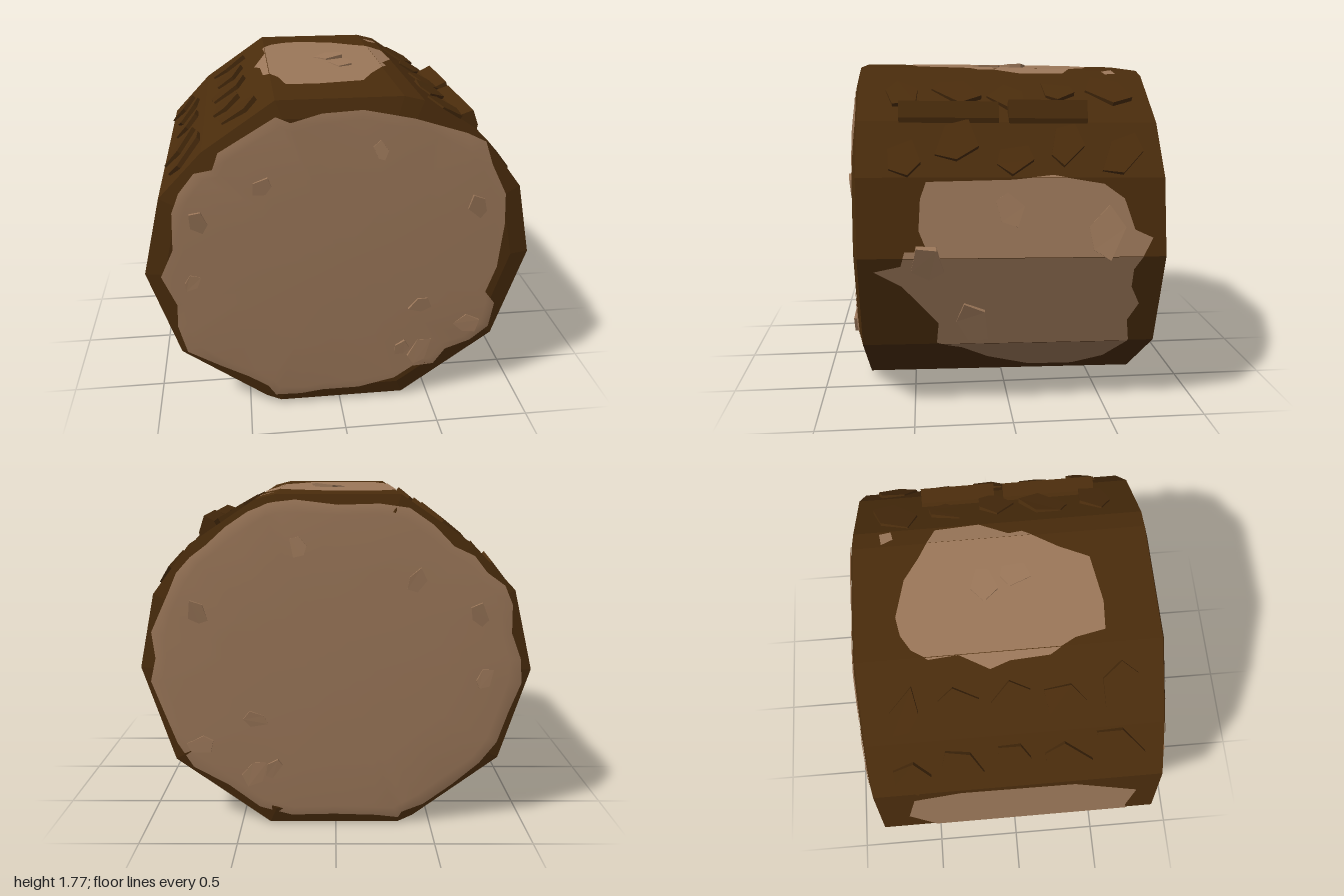
import * as THREE from 'three';

const V = (x, y, z) => new THREE.Vector3(x, y, z);
const CY = 0.88;

// Convex cross-section of the log, counter-clockwise seen from the front
const outline = [
  [1, 0.87], [0.92, 1.25], [0.73, 1.5], [0.4, 1.72], [0.3, 1.745], [-0.32, 1.745], [-0.68, 1.5],
  [-0.9, 1.27], [-1, 0.86], [-0.85, 0.38], [-0.41, 0.05], [-0.33, 0.012], [0.35, 0.012], [0.84, 0.37],
];
const edges = outline.map((a, i) => {
  const b = outline[(i + 1) % outline.length];
  const n = V(b[1] - a[1], a[0] - b[0], 0).normalize();
  return { a, b, n, d: n.x * a[0] + n.y * (a[1] - CY) };
});

// How far a point lies towards the outline: 0 at the centre, 1 on the edge
const reach = (x, y) => Math.max(...edges.map(e => (e.n.x * x + e.n.y * (y - CY)) / e.d));
// Depth of the slightly domed cut ends
const capZ = r => (r < 0.9 ? 0.793 - 0.012 * (r / 0.9) ** 2 : 0.781 - 0.25 * (r - 0.9));

let seed = 7;
const rand = () => (seed = (seed * 16807) % 2147483647) / 2147483647;

// The whole log sits a little higher at the front
function makeMesh(geo, mat, name) {
  const p = geo.attributes.position;
  for (let i = 0; i < p.count; i++) p.setY(i, p.getY(i) + 0.015 * p.getZ(i));
  geo.computeVertexNormals();
  const mesh = new THREE.Mesh(geo, mat);
  mesh.name = name;
  return mesh;
}
const fromTriangles = pts => new THREE.BufferGeometry().setFromPoints(pts);

// Bark: straight walls, bevelled rims and closed ends
function barkGeometry() {
  const levels = [[0.02, -capZ(0)], [0.9, -capZ(0.9)], [1, -capZ(1)], [1, capZ(1)], [0.9, capZ(0.9)], [0.02, capZ(0)]];
  const at = (p, [k, z]) => V(p[0] * k, CY + (p[1] - CY) * k, z);
  const tris = [];
  for (const { a, b } of edges) {
    for (let j = 0; j < levels.length - 1; j++) {
      const p = at(a, levels[j]), q = at(b, levels[j]), r = at(b, levels[j + 1]), s = at(a, levels[j + 1]);
      tris.push(p, q, r, p, r, s);
    }
  }
  return fromTriangles(tris);
}

// Bare cut wood on an end, following the dome out to a ragged edge
function cutFace(points, side) {
  const rings = [0.3, 0.6, 0.85, 1], n = points.length;
  const pos = [V(0, CY, side * (capZ(0) + 0.006))], idx = [];
  rings.forEach((k, j) => points.forEach(([x, y]) => {
    const r = reach(x, y), s = j === 2 ? Math.min(0.9 / r, 0.94) : k;
    pos.push(V(x * s, CY + (y - CY) * s, side * (capZ(r * s) + 0.006)));
  }));
  const tri = (a, b, c) => (side > 0 ? idx.push(a, b, c) : idx.push(a, c, b));
  for (let i = 0; i < n; i++) {
    const k = (i + 1) % n;
    tri(0, 1 + i, 1 + k);
    for (let j = 0; j < rings.length - 1; j++) {
      const a = 1 + j * n + i, b = 1 + j * n + k;
      tri(a, a + n, b + n);
      tri(a, b + n, b);
    }
  }
  return fromTriangles(pos).setIndex(idx);
}

// Keep the part of a polygon where sign * (p[0] - limit) >= 0
function clip(poly, limit, sign) {
  const out = [];
  poly.forEach((p, i) => {
    const q = poly[(i + 1) % poly.length];
    const dp = sign * (p[0] - limit), dq = sign * (q[0] - limit);
    if (dp >= 0) out.push(p);
    if (dp * dq < 0) {
      const t = dp / (dp - dq);
      out.push([limit, p[1] + t * (q[1] - p[1])]);
    }
  });
  return out;
}

// Peeled patch wrapped over the walls; points are [x or y, z]
function peeledPatch(points, dir) {
  const axis = dir.x ? 1 : 0, tris = [];
  for (const { a, b, n } of edges) {
    if (n.dot(dir) < 0.4) continue;
    const part = clip(clip(points, Math.min(a[axis], b[axis]), 1), Math.max(a[axis], b[axis]), -1);
    if (part.length < 3) continue;
    const contour = part.map(p => new THREE.Vector2(p[0], p[1]));
    if (THREE.ShapeUtils.isClockWise(contour)) contour.reverse();
    const on = p => {
      const t = (p.x - a[axis]) / (b[axis] - a[axis]);
      return V(a[0] + t * (b[0] - a[0]), a[1] + t * (b[1] - a[1]), p.y).addScaledVector(n, 0.005);
    };
    for (const f of THREE.ShapeUtils.triangulateShape(contour, [])) {
      const [p, q, r] = f.map(i => on(contour[i]));
      const up = q.clone().sub(p).cross(r.clone().sub(p)).dot(n);
      tris.push(p, ...(up > 0 ? [q, r] : [r, q]));
    }
  }
  return fromTriangles(tris);
}

// Low splinter: an irregular slab that rises towards one side
function flake(pos, normal, w, h, rise, turn) {
  const n = 5, base = [], top = [], tris = [];
  const q = new THREE.Quaternion().setFromUnitVectors(V(0, 0, 1), normal);
  for (let i = 0; i < n; i++) {
    const a = (i / n) * Math.PI * 2 + rand() * 0.6, k = 0.8 + rand() * 0.3;
    const x = Math.cos(a) * w * k, y = Math.sin(a) * h * k;
    const place = z => V(x * Math.cos(turn) - y * Math.sin(turn), x * Math.sin(turn) + y * Math.cos(turn), z)
      .applyQuaternion(q).add(pos);
    base.push(place(-0.01));
    top.push(place(0.007 + rise * (0.5 + 0.5 * Math.cos(a))));
  }
  for (let i = 0; i < n; i++) {
    const k = (i + 1) % n;
    tris.push(base[i], base[k], top[k], base[i], top[k], top[i]);
    if (i > 0 && i < n - 1) tris.push(top[0], top[i], top[i + 1]);
  }
  return fromTriangles(tris);
}

export function createModel() {
  const log = new THREE.Group();
  log.name = 'log';
  const bark = new THREE.MeshStandardMaterial({ color: 0x4a2c0c });
  bark.name = 'bark brown';
  const wood = new THREE.MeshStandardMaterial({ color: 0x9b7759 });
  wood.name = 'bare wood';
  const add = (geo, mat, name) => log.add(makeMesh(geo, mat, name));

  add(barkGeometry(), bark, 'bark');

  // Cut ends
  add(cutFace([
    [0.85, 1.05], [0.84, 1.22], [0.76, 1.38], [0.72, 1.5], [0.62, 1.55], [0.5, 1.59], [0.35, 1.64], [0.1, 1.69],
    [-0.1, 1.68], [-0.25, 1.64], [-0.32, 1.67], [-0.6, 1.5], [-0.63, 1.42], [-0.72, 1.4], [-0.8, 1.3], [-0.84, 1.2],
    [-0.85, 1], [-0.92, 0.85], [-0.85, 0.68], [-0.86, 0.55], [-0.82, 0.38], [-0.65, 0.28], [-0.5, 0.2],
    [-0.4, 0.13], [-0.36, 0.06], [-0.22, 0.06], [-0.1, 0.08], [0.1, 0.08], [0.3, 0.13], [0.4, 0.2], [0.52, 0.2],
    [0.58, 0.3], [0.72, 0.34], [0.82, 0.42], [0.84, 0.57], [0.78, 0.65], [0.83, 0.8],
  ], 1), wood, 'frontCut');
  const backRim = [];
  for (const { a, b } of edges) for (const t of [0.15, 0.5, 0.85]) {
    const k = 0.93 + rand() * 0.05;
    backRim.push([(a[0] + t * (b[0] - a[0])) * k, CY + (a[1] + t * (b[1] - a[1]) - CY) * k]);
  }
  add(cutFace(backRim, -1), wood, 'backCut');

  // Peeled patches around the log
  add(peeledPatch([
    [1.15, 0.45], [1.23, 0.42], [1.24, 0], [1.26, -0.2], [1.22, -0.45], [1.15, -0.55], [1, -0.6], [0.96, -0.69],
    [0.8, -0.6], [0.7, -0.6], [0.6, -0.65], [0.5, -0.6], [0.38, -0.62], [0.18, -0.55], [0.08, -0.4], [0.08, -0.15],
    [0.2, 0.1], [0.33, 0.25], [0.38, 0.38], [0.5, 0.37], [0.6, 0.45], [0.72, 0.55], [0.8, 0.68], [0.83, 0.55],
    [0.9, 0.53], [0.9, 0.42], [1, 0.46],
  ], V(1, 0, 0)), wood, 'leftPatch');
  add(peeledPatch([
    [1.2, -0.55], [1.25, -0.3], [1.24, 0.3], [1.15, 0.52], [1.1, 0.64], [0.9, 0.6], [0.7, 0.66], [0.6, 0.5],
    [0.48, 0.35], [0.44, 0.1], [0.42, -0.15], [0.44, -0.3], [0.55, -0.36], [0.75, -0.32], [0.85, -0.45], [1, -0.6],
  ], V(-1, 0, 0)), wood, 'rightPatch');
  add(peeledPatch([
    [-0.2, -0.53], [-0.1, -0.55], [0.1, -0.5], [0.22, -0.42], [0.38, -0.33], [0.395, -0.1], [0.32, 0.05],
    [0.33, 0.12], [0.22, 0.3], [0.15, 0.45], [-0.1, 0.49], [-0.25, 0.48], [-0.28, 0.33], [-0.35, 0.2],
    [-0.36, 0], [-0.39, -0.1], [-0.32, -0.25], [-0.33, -0.4], [-0.28, -0.48],
  ], V(0, 1, 0)), wood, 'topPatch');
  add(peeledPatch([[0.31, -0.61], [0.38, -0.62], [0.39, -0.56], [0.34, -0.55]], V(0, 1, 0)), wood, 'topSpot');
  add(peeledPatch([
    [0.32, -0.02], [0.345, -0.2], [0.34, -0.45], [0.12, -0.61], [0.02, -0.45], [-0.03, -0.23], [0.15, -0.1],
  ], V(0, -1, 0)), wood, 'bottomPatch');

  // Splinters on the cut ends: x, y, size, turn
  for (const [x, y, s, turn] of [
    [-0.4, 1.32, 0.07, 1], [-0.72, 1.15, 0.07, 2], [-0.76, 0.82, 0.06, 4], [0.19, 1.49, 0.06, 5], [0.7, 1.16, 0.07, 2],
    [0.7, 0.46, 0.08, 0], [0.43, 0.3, 0.09, 4], [0.33, 0.33, 0.06, 1], [0.42, 0.6, 0.07, 3],
  ]) for (const side of [1, -1]) {
    const pos = V(x, y, side * capZ(reach(x, y)));
    add(flake(pos, V(0, 0, side), s, s * 0.7, 0.015, turn), wood, side > 0 ? 'frontSplinter' : 'backSplinter');
  }

  // Splinters on the walls: edge, place along it, z, length, width, rise, material
  const wall = (e, t, z, l, w, rise, mat, name) => {
    const { a, b, n } = edges[e];
    const pos = V(a[0] + t * (b[0] - a[0]), a[1] + t * (b[1] - a[1]), z);
    const along = Math.abs(n.x) > Math.abs(n.y);
    add(flake(pos, n, along ? l : w, along ? w : l, rise, rand() * 0.3), mat, name);
  };
  wall(0, 0.3, -0.45, 0.09, 0.14, 0.02, wood, 'leftSplinter');
  wall(0, 0.6, 0.02, 0.07, 0.1, 0.01, wood, 'leftSplinter');
  wall(13, 0.25, 0.2, 0.09, 0.15, 0.02, wood, 'leftSplinter');
  wall(13, 0.95, 0.42, 0.09, 0.1, 0.02, wood, 'leftSplinter');
  wall(4, 0.42, -0.1, 0.07, 0.09, 0.02, wood, 'topSplinter');
  wall(4, 0.35, 0.06, 0.09, 0.06, 0.01, wood, 'topSplinter');
  for (let e = 0; e < edges.length; e++) {
    if (![1, 2, 5, 6].includes(e)) continue;
    for (let i = 0; i < 5; i++) {
      wall(e, 0.3 + rand() * 0.4, -0.55 + i * 0.27, 0.08 + rand() * 0.04, 0.1 + rand() * 0.06, 0.02, bark, 'barkFlake');
    }
  }

  // Raised bark ridges along the upper left shoulder
  for (const [z0, z1, dy] of [[0.05, 0.55, 0], [-0.4, 0, 0.01]]) {
    const shape = new THREE.Shape([[0.55, 1.58], [0.73, 1.47], [0.74, 1.52], [0.71, 1.6 + dy], [0.64, 1.575]]
      .map(p => new THREE.Vector2(...p)));
    const geo = new THREE.ExtrudeGeometry(shape, { depth: z1 - z0, bevelEnabled: false });
    add(geo.translate(0, 0, z0), bark, 'barkRidge');
  }
  return log;
}
